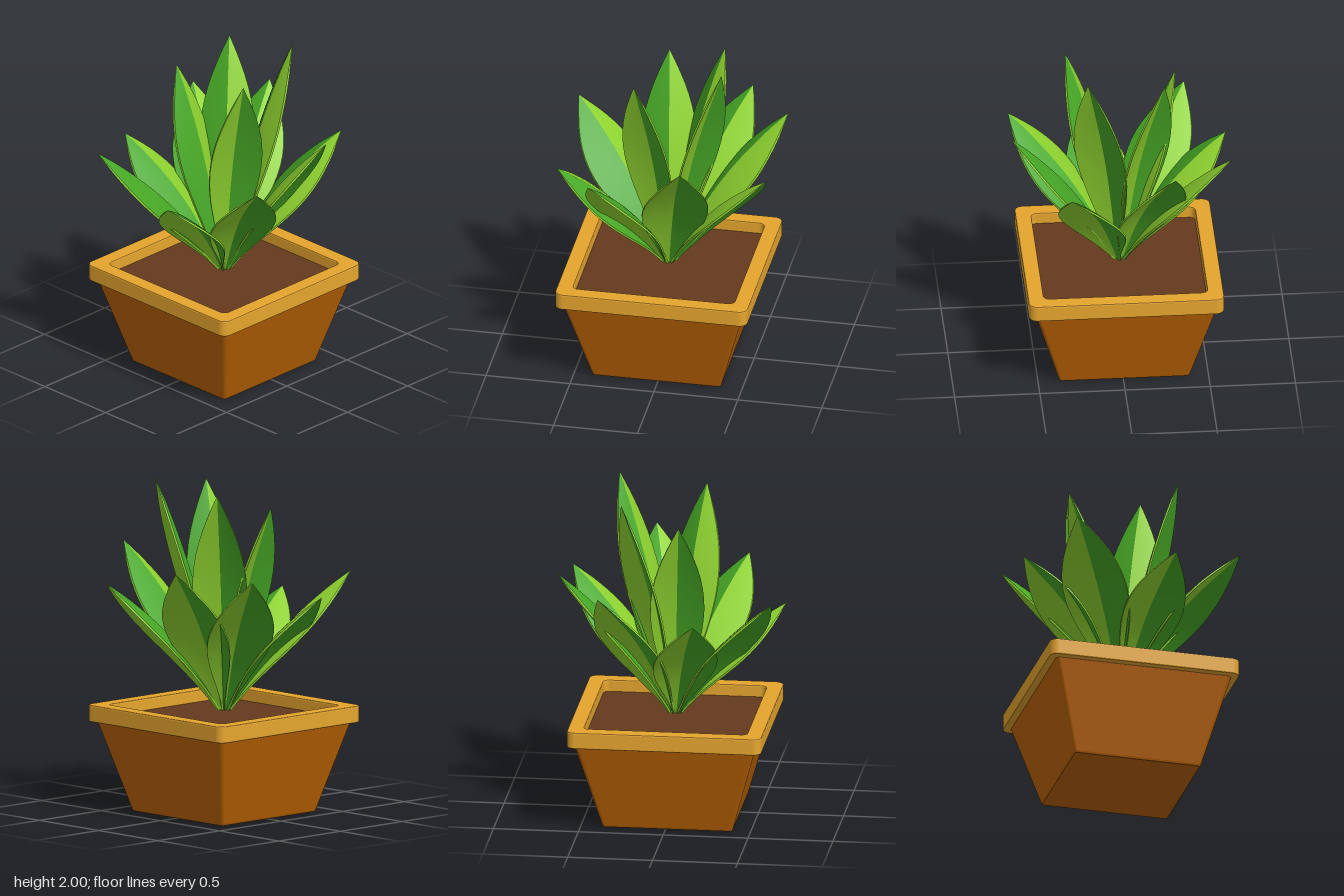
import * as THREE from 'three';
import { mergeGeometries } from 'three/addons/utils/BufferGeometryUtils.js';
import { ParametricGeometry } from 'three/addons/geometries/ParametricGeometry.js';

const mat = (name, color, extra = {}) => {
  const m = new THREE.MeshStandardMaterial({ color, ...extra });
  m.name = name;
  return m;
};

// Square outline with rounded corners
function roundedSquare(h, r, Type = THREE.Shape) {
  const s = new Type();
  s.absarc(h - r, h - r, r, 0, Math.PI / 2);
  s.absarc(-h + r, h - r, r, Math.PI / 2, Math.PI);
  s.absarc(-h + r, -h + r, r, Math.PI, Math.PI * 1.5);
  s.absarc(h - r, -h + r, r, Math.PI * 1.5, Math.PI * 2);
  s.closePath();
  return s;
}

// Upright slab between two heights, with a small bevel that keeps the outline size
function slab(shape, y0, y1, bevel) {
  const g = new THREE.ExtrudeGeometry(shape, {
    depth: y1 - y0 - 2 * bevel, bevelEnabled: bevel > 0, bevelThickness: bevel,
    bevelSize: bevel, bevelOffset: -bevel, bevelSegments: 2, curveSegments: 10,
  });
  return g.rotateX(-Math.PI / 2).translate(0, y0 + bevel, 0);
}

// Arched leaf folded along its midrib: t runs to the tip, u from midrib to edge,
// side is 1 or -1, h is 1 on the upper skin and -1 on the lower skin
function leafPoint(base, tip, halfWidth, arch, side) {
  const axis = tip.clone().sub(base).normalize();
  const across = new THREE.Vector3(axis.z, 0, -axis.x).normalize();
  const up = axis.clone().cross(across);
  return (t, u, h, target) => {
    const w = halfWidth * (Math.sin(Math.PI * t ** 1.25) + 0.12 * (1 - t) ** 2);
    const skin = h * 0.006 * Math.min(1, 8 * (1 - t));
    const lift = arch * Math.sin(Math.PI * t) + skin - w * (0.25 * u + 0.08 * u * u);
    target.lerpVectors(base, tip, t)
      .addScaledVector(across, side * u * w)
      .addScaledVector(up, lift);
  };
}

function sheet(fn, rows, cols) {
  const g = new ParametricGeometry(fn, rows, cols);
  g.computeVertexNormals();
  return g;
}

export function createModel() {
  const model = new THREE.Group();
  model.name = 'pottedPlant';
  const clay = mat('clay', 0xba6302);
  const rimClay = mat('rimClay', 0xe5a52e);
  const earth = mat('earth', 0x643a1d);
  const green = mat('leafGreen', 0x47a826, { side: THREE.DoubleSide });
  const lime = mat('leafLime', 0x8fd430, { side: THREE.DoubleSide });

  const add = (parent, name, geometry, material) => {
    const m = new THREE.Mesh(geometry, material);
    m.name = name;
    parent.add(m);
  };

  // Pot: tapered body, rim and soil
  const pot = new THREE.Group();
  pot.name = 'pot';
  pot.position.set(-0.007, 0, 0.01);
  model.add(pot);

  const body = slab(roundedSquare(1, 0.05), 0, 0.54, 0.012);
  const p = body.attributes.position;
  for (let i = 0; i < p.count; i++) {
    const s = 0.382 + (0.53 - 0.382) * (p.getY(i) / 0.53);
    p.setXYZ(i, p.getX(i) * s, p.getY(i), p.getZ(i) * s);
  }
  body.computeVertexNormals();
  add(pot, 'potBody', body, clay);

  const rim = roundedSquare(0.573, 0.05);
  rim.holes.push(roundedSquare(0.48, 0.035, THREE.Path));
  add(pot, 'potRim', slab(rim, 0.53, 0.63, 0.008), rimClay);
  add(pot, 'soil', slab(roundedSquare(0.485, 0.035), 0.545, 0.56, 0), earth);

  // Leaves: tip position and half width, outer ring then inner ring
  const tips = [
    [-0.285, 1.51, -0.65, 0.188], [0.32, 1.385, -0.635, 0.187],
    [0.645, 1.555, -0.18, 0.19], [0.62, 1.4, 0.37, 0.187],
    [0.16, 1.245, 0.645, 0.181], [-0.435, 1.41, 0.63, 0.19],
    [-0.645, 1.32, 0.19, 0.184], [-0.64, 1.47, -0.37, 0.19],
    [0.205, 2.0, -0.345, 0.156], [-0.25, 1.93, -0.28, 0.156],
    [-0.34, 1.83, 0.07, 0.155], [0.3, 1.92, 0.16, 0.156],
  ];
  const leaves = new THREE.Group();
  leaves.name = 'leaves';
  model.add(leaves);
  tips.forEach(([x, y, z, w], i) => {
    const outer = i < 8;
    const leaf = new THREE.Group();
    leaf.name = `${outer ? 'outer' : 'inner'}Leaf${i + 1}`;
    const tip = new THREE.Vector3(x, y, z);
    const base = new THREE.Vector3(x, 0, z).setLength(0.03)
      .add(new THREE.Vector3(-0.007, 0.61, 0.01));
    for (const side of [1, -1]) {
      const point = leafPoint(base, tip, w, outer ? 0.066 : 0.05, side);
      const skins = [1, -1].map((h) => sheet((t, u, v) => point(t, u, h, v), 18, 4));
      const name = side > 0 ? 'green' : 'lime';
      add(leaf, `${name}Half`, mergeGeometries(skins), side > 0 ? green : lime);
      // Thin pale rim along the leaf edge
      add(leaf, `${name}Edge`, sheet((t, s, v) => point(t, 1, 2 * s - 1, v), 18, 1), lime);
    }
    leaves.add(leaf);
  });
  return model;
}
